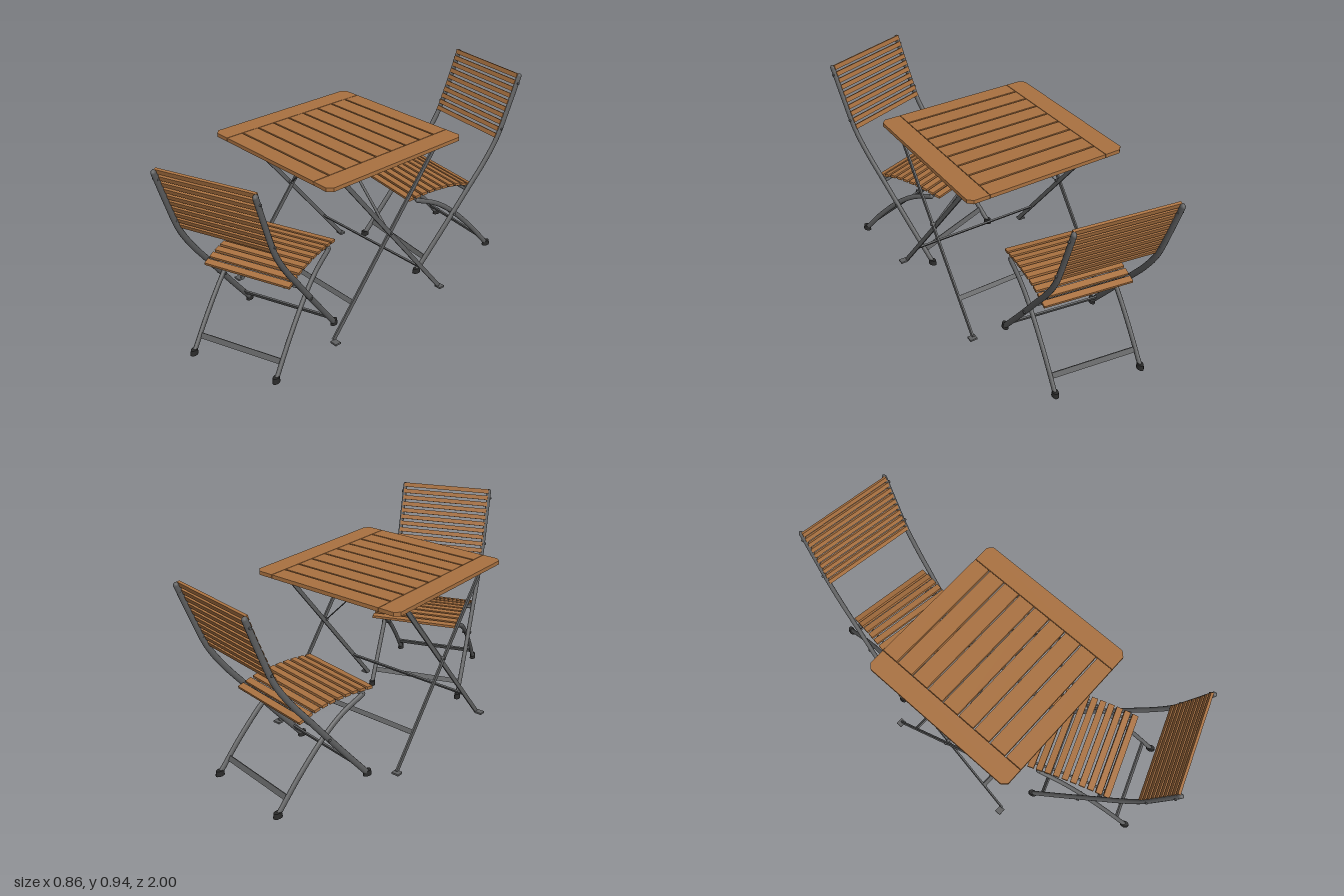
import * as THREE from 'three';

const mat = (name, color) => Object.assign(new THREE.MeshStandardMaterial({ color }), { name });
const wood = mat('warm wood', 0xaa7241);
const metal = mat('grey metal', 0x606162);
const rubber = mat('dark rubber', 0x2a2a2a);

function add(group, name, geometry, material, x = 0, y = 0, z = 0, rx = 0) {
  const mesh = new THREE.Mesh(geometry, material);
  mesh.name = name;
  mesh.position.set(x, y, z);
  mesh.rotation.x = rx;
  group.add(mesh);
  return mesh;
}
const box = (w, h, d) => new THREE.BoxGeometry(w, h, d);

// Flat bar lying in a plane of constant x, from (y0, z0) to (y1, z1)
function bar(group, name, x, y0, z0, y1, z1, w, d) {
  const dy = y1 - y0, dz = z1 - z0;
  add(group, name, box(w, Math.hypot(dy, dz), d), metal, x, (y0 + y1) / 2, (z0 + z1) / 2, Math.atan2(dz, dy));
}

// Smooth curve in the side plane from [z, y] pairs
const sideCurve = pts => new THREE.CatmullRomCurve3(pts.map(([z, y]) => new THREE.Vector3(0, y, z)));

function disc(group, name, r, len, x, y, z) {
  add(group, name, new THREE.CylinderGeometry(r, r, len, 10).rotateZ(Math.PI / 2), metal, x, y, z);
}

// Closed oval tube following a side curve
function tube(group, name, curve, r, x) {
  const parts = [add(group, name, new THREE.TubeGeometry(curve, 28, r, 12), metal, x)];
  for (const t of [0, 1]) {
    const p = curve.getPoint(t);
    parts.push(add(group, name + 'End', new THREE.SphereGeometry(r, 12, 6), metal, x, p.y, p.z));
  }
  for (const part of parts) part.scale.x = 0.78;
}

// Chair: z = 0 is the top of the backrest, the seat extends towards +z
function createChair(name) {
  const chair = new THREE.Group();
  chair.name = name;
  const post = sideCurve([[0, 0.926], [0.053, 0.78], [0.117, 0.62], [0.195, 0.5], [0.275, 0.4], [0.435, 0.2], [0.585, 0.018]]);
  const leg = sideCurve([[0.12, 0.018], [0.235, 0.15], [0.37, 0.28], [0.47, 0.35], [0.585, 0.398]]);
  const seat = sideCurve([[0.255, 0.395], [0.33, 0.416], [0.43, 0.426], [0.53, 0.425], [0.625, 0.415]]);
  const seatRail = sideCurve([[0.255, 0.381], [0.33, 0.402], [0.43, 0.412], [0.53, 0.411], [0.61, 0.402]]);

  for (const s of [-1, 1]) {
    tube(chair, 'backPost', post, 0.0138, s * 0.229);
    tube(chair, 'crossedLeg', leg, 0.0125, s * 0.209);
    tube(chair, 'seatRail', seatRail, 0.007, s * 0.18);
    // Rubber feet
    for (const [x, z] of [[0.229, 0.592], [0.209, 0.113]]) {
      const foot = add(chair, 'rubberFoot', new THREE.CylinderGeometry(0.013, 0.0155, 0.025, 12), rubber, s * x, 0.0125, z);
      foot.scale.z = 1.45;
    }
    // Pivots and bolts
    disc(chair, 'legPivot', 0.007, 0.046, s * 0.22, 0.272, 0.372);
    disc(chair, 'seatPivot', 0.007, 0.046, s * 0.215, 0.392, 0.28);
    disc(chair, 'frontPivot', 0.007, 0.03, s * 0.2, 0.4, 0.58);
    for (const [y, z] of [[0.893, 0.012], [0.67, 0.097]]) disc(chair, 'backBolt', 0.006, 0.027, s * 0.231, y, z);
  }

  // Cross bars
  add(chair, 'frontStretcher', box(0.45, 0.025, 0.008), metal, 0, 0.068, 0.543, -0.5);
  add(chair, 'rearStretcher', box(0.41, 0.025, 0.008), metal, 0, 0.068, 0.164, 0.5);
  disc(chair, 'seatRearBar', 0.009, 0.44, 0, 0.38, 0.285);
  disc(chair, 'seatFrontBar', 0.007, 0.4, 0, 0.396, 0.585);

  // Backrest slats, fixed to the front of the posts
  const depthAt = y => 0.118 * Math.pow(Math.max(0, 0.935 - y) / 0.315, 1.1);
  for (let i = 0; i < 10; i++) {
    const y = 0.927 - i * 0.0325;
    const a = Math.atan2(depthAt(y + 0.005) - depthAt(y - 0.005), 0.01);
    add(chair, 'backSlat', box(0.458, 0.022, 0.012), wood,
      0, y - Math.sin(a) * 0.01, depthAt(y) + Math.cos(a) * 0.01, a);
  }

  // Curved row of seat slats
  for (let i = 0; i < 10; i++) {
    const u = i / 9, p = seat.getPointAt(u), t = seat.getTangentAt(u);
    add(chair, 'seatSlat', box(0.422, 0.013, 0.03), wood, 0, p.y, p.z, -Math.atan2(t.y, t.z));
  }
  return chair;
}

// Table, centred on its own x and z
function createTable() {
  const table = new THREE.Group();
  table.name = 'foldingTable';
  const half = 0.3975, depth = 0.4, inner = 0.3, cut = 0.022, th = 0.018, y = 0.784;

  // End planks with clipped outer corners
  for (const s of [-1, 1]) {
    const pts = [[inner, -depth], [half - cut, -depth], [half, -depth + cut], [half, depth - cut], [half - cut, depth], [inner, depth]];
    const shape = new THREE.Shape(pts.map(([a, b]) => new THREE.Vector2(s * a, b)));
    const geo = new THREE.ExtrudeGeometry(shape, { depth: th, bevelEnabled: false }).rotateX(-Math.PI / 2);
    add(table, 'endPlank', geo, wood, 0, y);
  }
  // Long planks
  const pitch = (2 * depth + 0.008) / 9;
  for (let i = 0; i < 9; i++) {
    add(table, 'topPlank', box(2 * inner - 0.006, th, pitch - 0.008), wood, 0, y + th / 2, (i - 4) * pitch);
  }
  add(table, 'centreBatten', box(0.022, 0.008, 0.76), metal, 0, 0.78, 0);
  add(table, 'braceBracket', box(0.012, 0.07, 0.018), metal, 0, 0.742, 0.005);

  for (const s of [-1, 1]) {
    // Top rail with slanted ends
    const rail = new THREE.Shape([[-0.36, 0.784], [-0.36, 0.775], [-0.335, 0.757], [0.335, 0.757], [0.36, 0.775], [0.36, 0.784]]
      .map(([a, b]) => new THREE.Vector2(a, b)));
    const geo = new THREE.ExtrudeGeometry(rail, { depth: 0.008, bevelEnabled: false }).translate(0, 0, -0.004).rotateY(Math.PI / 2);
    add(table, 'topRail', geo, metal, s * 0.35);

    // Crossed legs
    bar(table, 'outerLeg', s * 0.357, 0.008, -0.338, 0.77, 0.28, 0.008, 0.02);
    bar(table, 'innerLeg', s * 0.343, 0.008, 0.338, 0.77, -0.28, 0.008, 0.02);
    for (const z of [-0.342, 0.342]) add(table, 'footPlate', box(0.036, 0.009, 0.03), metal, s * 0.361, 0.0045, z);
    for (const z of [-0.28, 0.28]) disc(table, 'topHinge', 0.007, 0.032, s * 0.35, 0.768, z);
    disc(table, 'legPivot', 0.007, 0.034, s * 0.35, 0.435, 0.005);

    // Thin flat diagonal brace
    const dx = -s * 0.338, dy = 0.337;
    const brace = add(table, 'brace', box(0.003, Math.hypot(dx, dy), 0.014), metal, s * 0.169, 0.4365 + dy / 2, 0.005);
    brace.rotation.z = -Math.atan2(dx, dy);
  }
  // Stretchers between the leg pairs
  add(table, 'rearStretcher', box(0.71, 0.023, 0.008), metal, 0, 0.153, -0.221, 0.68);
  add(table, 'frontStretcher', box(0.69, 0.023, 0.008), metal, 0, 0.153, 0.221, -0.68);
  return table;
}

export function createModel() {
  const model = new THREE.Group();
  model.name = 'gardenTableAndChairs';

  const table = createTable();
  table.position.set(-0.032, 0, 0.025);

  const rearChair = createChair('rearChair');
  rearChair.position.set(0.025, 0, -0.951);
  rearChair.rotation.y = -0.155;

  const frontChair = createChair('frontChair');
  frontChair.position.set(0.203, 0, 0.906);
  frontChair.rotation.y = Math.PI + 0.357;

  model.add(table, rearChair, frontChair);
  return model;
}
